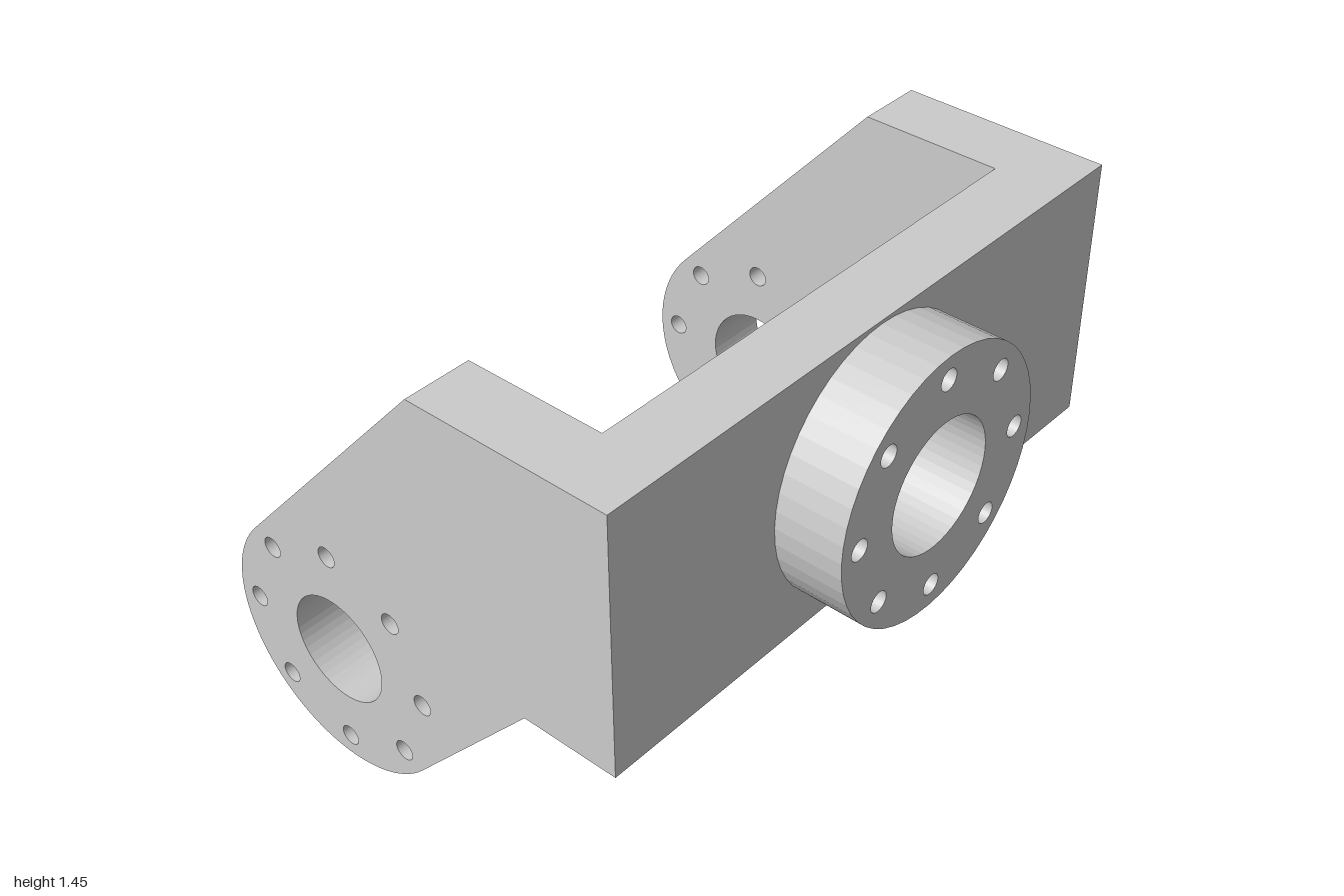
import * as THREE from 'three';

const material = new THREE.MeshStandardMaterial({ color: 0xcccccc, flatShading: true });

const T = 0.21;           // wall thickness
const BOSS_Y = 1.035;     // height of the boss axis
const PIVOT = [-0.42, 0.405]; // z, y of the arm pivot
const R = 0.405;          // outer radius of boss and arm ends

function addHole(shape, x, y, r) {
  const hole = new THREE.Path();
  hole.absarc(x, y, r, 0, Math.PI * 2, true);
  shape.holes.push(hole);
}

// Central bore with a ring of eight bolt holes
function addHolePattern(shape, x, y, bore) {
  addHole(shape, x, y, bore);
  for (let i = 0; i < 8; i++) {
    const a = (i * Math.PI) / 4;
    addHole(shape, x + 0.333 * Math.cos(a), y + 0.333 * Math.sin(a), 0.032);
  }
}

function extrude(shape) {
  return new THREE.ExtrudeGeometry(shape, { depth: T, bevelEnabled: false, curveSegments: 24 });
}

function addPart(group, name, geometry) {
  const mesh = new THREE.Mesh(geometry, material);
  mesh.name = name;
  group.add(mesh);
}

// Arm outline drawn in (z, y), then turned so its thickness runs along x
function armGeometry() {
  const [pz, py] = PIVOT;
  const tilt = Math.atan2(0.667, -0.745); // direction of the upper tangent point
  const s = new THREE.Shape();
  s.moveTo(0.62, 0.62);
  s.lineTo(0.62, 1.45);
  s.lineTo(-0.03, 1.45);
  s.absarc(pz, py, R, tilt, tilt + Math.PI, false);
  s.lineTo(0.31, 0.62);
  s.closePath();
  addHolePattern(s, pz, py, 0.172);
  return extrude(s).rotateY(-Math.PI / 2);
}

export function createModel() {
  const group = new THREE.Group();
  group.name = 'yokeBracket';

  // Cross plate joining the two arms
  const plate = new THREE.Shape([
    new THREE.Vector2(-0.79, 0.62), new THREE.Vector2(0.79, 0.62),
    new THREE.Vector2(0.79, 1.45), new THREE.Vector2(-0.79, 1.45),
  ]);
  addHolePattern(plate, 0, BOSS_Y, 0.172);
  addPart(group, 'crossPlate', extrude(plate).translate(0, 0, 0.41));

  // Round boss on the front, with a wider bore that leaves a step
  const boss = new THREE.Shape();
  boss.absarc(0, BOSS_Y, R, 0, Math.PI * 2, false);
  addHolePattern(boss, 0, BOSS_Y, 0.2);
  addPart(group, 'frontBoss', extrude(boss).translate(0, 0, 0.62));

  // Side arms
  addPart(group, 'leftArm', armGeometry().translate(1, 0, 0));
  addPart(group, 'rightArm', armGeometry().translate(-1 + T, 0, 0));

  return group;
}
